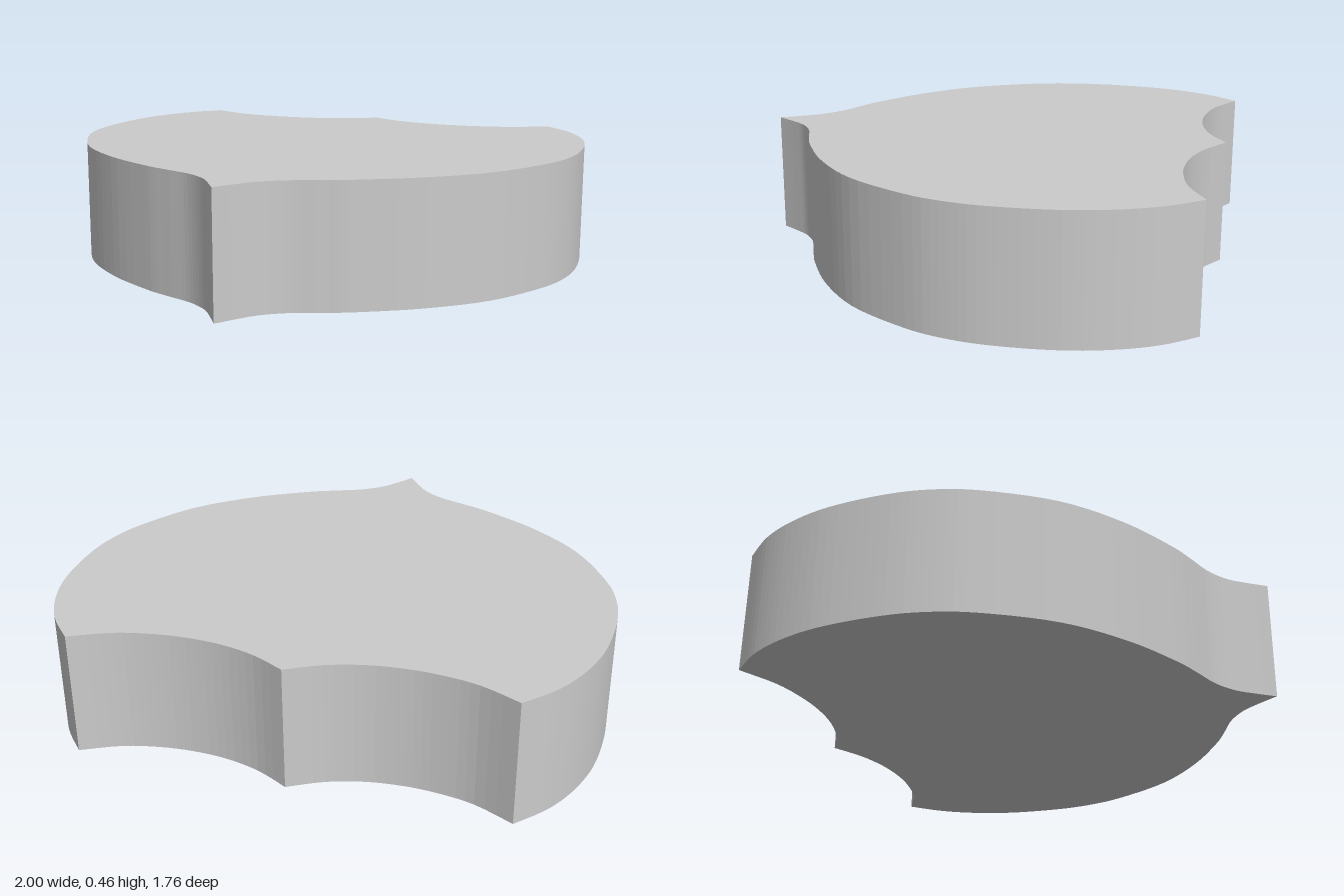
import * as THREE from 'three';

const HEIGHT = 0.455;

// Smooth run through a few [x, z] points
const run = (pts, n) =>
  new THREE.SplineCurve(pts.map(([x, z]) => new THREE.Vector2(x, z))).getPoints(n);

export function createModel() {
  const group = new THREE.Group();
  group.name = 'shieldPlate';

  // Left half of the outline, from the front tip round to the back middle point
  const tip = run([[0, 0.88], [0.05, 0.805], [0.1, 0.742], [0.18, 0.685], [0.29, 0.64],
    [0.4, 0.59], [0.6, 0.468], [0.79, 0.295], [0.93, 0.065], [0.985, -0.1], [1, -0.26],
    [0.985, -0.46], [0.94, -0.62], [0.87, -0.755], [0.77, -0.87]], 70);
  const scallop = run([[0.77, -0.87], [0.63, -0.802], [0.5, -0.773], [0.38, -0.765],
    [0.25, -0.777], [0.12, -0.815], [0, -0.88]], 24);
  const half = [...tip, ...scallop.slice(1)];

  // Mirror to the right half, without repeating the two centre points
  const mirrored = half.slice(1, -1).reverse().map((p) => new THREE.Vector2(-p.x, p.y));
  const outline = new THREE.Shape([...half, ...mirrored]);

  // Solid plate, laid flat on the ground
  const geometry = new THREE.ExtrudeGeometry(outline, { depth: HEIGHT, bevelEnabled: false });
  geometry.rotateX(Math.PI / 2).translate(0, HEIGHT, 0);
  const plate = new THREE.Mesh(
    geometry,
    new THREE.MeshStandardMaterial({ color: 0xcccccc, flatShading: true })
  );
  plate.name = 'shieldBody';
  group.add(plate);
  return group;
}
